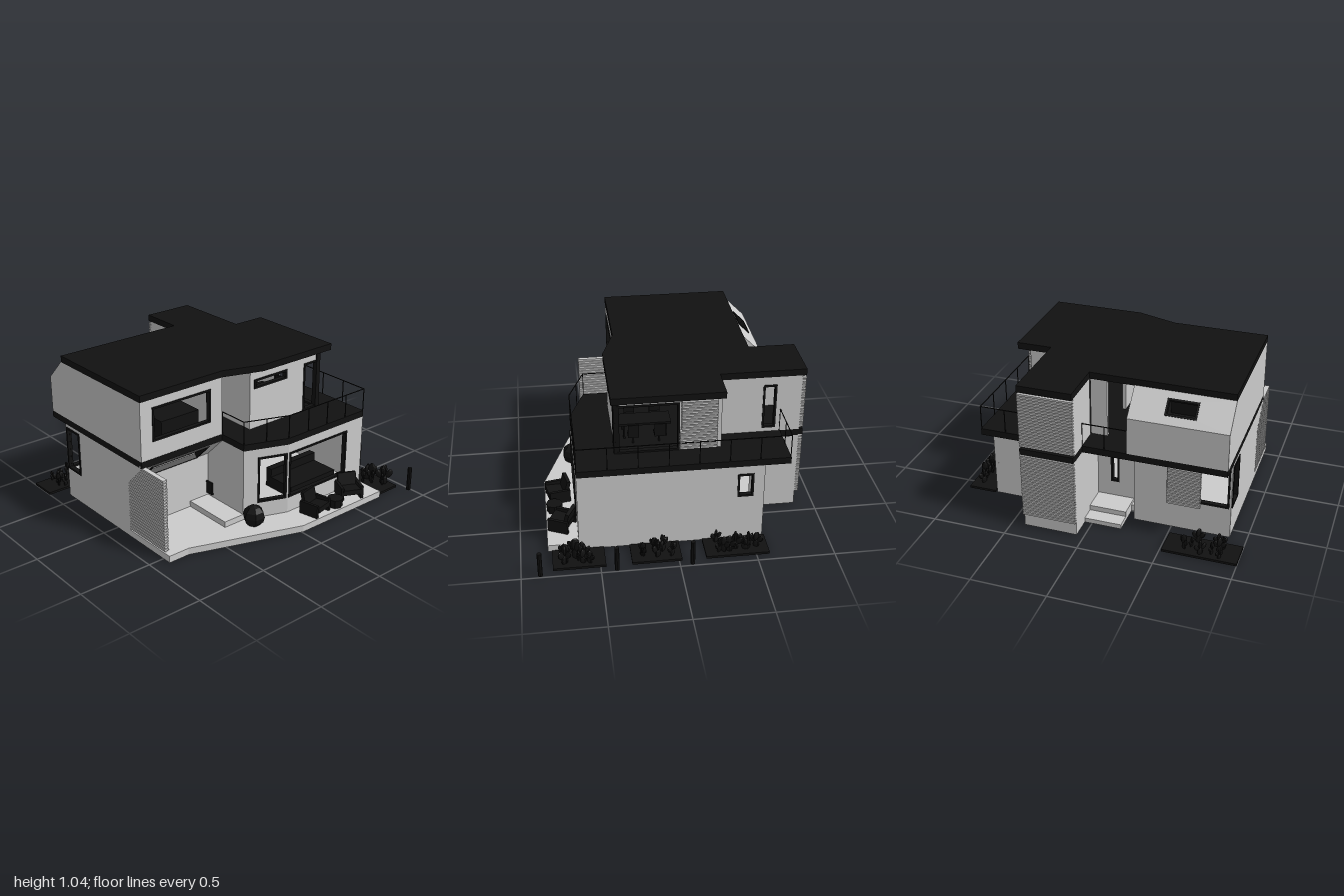
import * as THREE from 'three';
import { mergeGeometries } from 'three/addons/utils/BufferGeometryUtils.js';

const grey = new THREE.MeshStandardMaterial({ color: 0xcccccc, flatShading: true });
const black = new THREE.MeshStandardMaterial({ color: 0x111111, flatShading: true });
const toShape = (pts) => new THREE.Shape(pts.map(([x, y]) => new THREE.Vector2(x, y)));
const rect = (a, b, c, d) => toShape([[a, b], [c, b], [c, d], [a, d]]);

let seed = 7;
const rnd = () => (seed = (seed * 16807) % 2147483647) / 2147483647;

export function createModel() {
  const model = new THREE.Group();
  const T = 0.025;

  function add(name, geo, mat, parent = model) {
    const m = new THREE.Mesh(geo, mat);
    m.name = name;
    parent.add(m);
    return m;
  }
  // box given by its extents
  function box(name, x0, x1, y0, y1, z0, z1, mat = grey, parent = model) {
    const m = add(name, new THREE.BoxGeometry(x1 - x0, y1 - y0, z1 - z0), mat, parent);
    m.position.set((x0 + x1) / 2, (y0 + y1) / 2, (z0 + z1) / 2);
    return m;
  }
  // horizontal slab from a plan outline of [x, z]
  function slab(name, plan, y0, y1, mat) {
    const geo = new THREE.ExtrudeGeometry(toShape(plan.map(([x, z]) => [x, -z])), { depth: y1 - y0, bevelEnabled: false });
    add(name, geo.rotateX(-Math.PI / 2), mat).position.y = y0;
  }
  // wall from one plan point to another, outside on the right-hand side of travel;
  // holes are [u0, v0, u1, v1] along and up the wall, each given a black frame
  function wall(name, [x0, z0], [x1, z1], y0, y1, { holes = [], outline, tilt = 0 } = {}) {
    const g = new THREE.Group();
    g.name = name;
    const shape = outline ? toShape(outline) : rect(0, 0, Math.hypot(x1 - x0, z1 - z0), y1 - y0);
    for (const [a, b, c, d] of holes) {
      shape.holes.push(rect(a, b, c, d));
      const ring = rect(a, b, c, d), w = 0.013;
      ring.holes.push(rect(a + w, b + w, c - w, d - w));
      const frame = new THREE.ExtrudeGeometry(ring, { depth: T + 0.008, bevelEnabled: false });
      add('windowFrame', frame.translate(0, 0, -T - 0.002), black, g);
    }
    const geo = new THREE.ExtrudeGeometry(shape, { depth: T, bevelEnabled: false });
    add('wallPanel', geo.translate(0, 0, -T), grey, g);
    g.position.set(x0, y0, z0);
    g.rotation.order = 'YXZ';
    g.rotation.set(tilt, Math.atan2(z0 - z1, x1 - x0), 0);
    model.add(g);
  }
  function slats(name, x0, x1, z0, z1, y0, y1) {
    const parts = [];
    for (let y = y0; y < y1; y += 0.02)
      parts.push(new THREE.BoxGeometry(x1 - x0, 0.013, z1 - z0).translate((x0 + x1) / 2, y + 0.007, (z0 + z1) / 2));
    add(name, mergeGeometries(parts), grey);
  }

  // base, floor slab and roof
  slab('baseAndDeck', [[-0.89, 0.565], [-0.74, 0.565], [0.01, 0.825], [0.745, 0.825], [0.745, -0.575], [0.41, -0.575],
    [0.41, -0.87], [0.05, -0.87], [0.05, -0.5], [-0.245, -0.5], [-0.245, -0.585], [-0.89, -0.585]], 0.013, 0.06, grey);
  slab('floorSlab', [[-0.89, 0.3], [-0.245, 0.3], [-0.245, 0.515], [0.05, 0.625], [0.745, 0.625], [0.745, -0.74],
    [0.41, -0.74], [0.41, -0.895], [0.05, -0.895], [0.05, -0.74], [-0.89, -0.74]], 0.56, 0.605, black);
  slab('roof', [[-0.89, 0.3], [-0.245, 0.3], [0.03, 0.39], [0.645, 0.39], [0.645, -0.33], [0.41, -0.33],
    [0.41, -0.895], [0.05, -0.895], [0.05, -0.585], [-0.89, -0.585]], 1.005, 1.05, black);

  // ground floor walls
  const g0 = 0.06, g1 = 0.56;
  wall('frontLeftWall', [-0.89, 0.15], [-0.245, 0.15], g0, 0.41);
  wall('slopedSoffit', [-0.89, 0.15], [-0.245, 0.15], 0.41, 0.62,
    { tilt: Math.PI / 4, holes: [[0.09, 0.005, 0.55, 0.19]] });
  wall('patioSideWall', [-0.245, 0.15], [-0.245, 0.515], g0, g1);
  wall('angledFrontWall', [-0.245, 0.515], [0.05, 0.625], g0, g1, { holes: [[0.1, 0.11, 0.305, 0.44]] });
  wall('frontRightWall', [0.05, 0.625], [0.745, 0.625], g0, g1, { holes: [[0.005, 0.11, 0.54, 0.44]] });
  wall('rightWall', [0.745, 0.625], [0.745, -0.575], g0, g1, { holes: [[1.025, 0.275, 1.13, 0.445]] });
  wall('backRightWall', [0.745, -0.575], [0.41, -0.575], g0, g1);
  wall('towerRightWall', [0.41, -0.575], [0.41, -0.87], g0, g1);
  wall('towerBackWall', [0.41, -0.87], [0.05, -0.87], g0, g1);
  wall('towerLeftWall', [0.05, -0.87], [0.05, -0.45], g0, g1);
  wall('entranceWall', [0.05, -0.45], [-0.245, -0.45], g0, g1, { holes: [[0.09, 0.13, 0.15, 0.37]] });
  wall('entranceSideWall', [-0.245, -0.45], [-0.245, -0.585], g0, g1);
  wall('backLeftWall', [-0.245, -0.585], [-0.89, -0.585], g0, g1, { holes: [[0.22, 0.17, 0.632, 0.48]] });
  wall('leftWall', [-0.89, -0.585], [-0.89, 0.3], g0, g1,
    { outline: [[0, 0], [0.735, 0], [0.735, 0.35], [0.885, 0.5], [0, 0.5]], holes: [[0.013, 0.17, 0.17, 0.48]] });

  // upper floor walls
  const u0 = 0.605, u1 = 1.005;
  wall('upperFrontLeftWall', [-0.89, 0.298], [-0.245, 0.298], u0, u1, { holes: [[0.09, 0.115, 0.55, 0.345]] });
  wall('recessLeftWall', [-0.245, 0.298], [-0.245, -0.585], u0, u1);
  wall('recessRightWall', [-0.06, -0.2], [-0.06, 0.36], u0, u1);
  wall('upperFrontWall', [-0.06, 0.36], [0.42, 0.36], u0, u1, { holes: [[0.035, 0.28, 0.325, 0.345]] });
  wall('cornerGlazingFront', [0.42, 0.36], [0.56, 0.36], u0, u1, { holes: [[0, 0, 0.14, 0.345]] });
  wall('cornerGlazingSide', [0.56, 0.36], [0.56, -0.05], u0, u1, { holes: [[0, 0, 0.41, 0.345]] });
  wall('upperRightWall', [0.56, -0.05], [0.56, -0.32], u0, u1);
  wall('terraceBackWall', [0.56, -0.32], [0.41, -0.32], u0, u1);
  wall('upperTowerRightWall', [0.41, -0.32], [0.41, -0.87], u0, u1, { holes: [[0.295, 0.03, 0.385, 0.345]] });
  wall('upperTowerBackWall', [0.41, -0.87], [0.05, -0.87], u0, u1);
  wall('upperTowerLeftWall', [0.05, -0.87], [0.05, -0.585], u0, u1);
  wall('upperBackWall', [0.05, -0.57], [-0.06, -0.57], u0, u1);
  wall('bayBackWall', [-0.245, -0.74], [-0.89, -0.74], u0, 0.855);
  wall('baySlope', [-0.245, -0.74], [-0.89, -0.74], 0.855, 1.073, { tilt: -Math.PI / 4, holes: [[0.225, 0.057, 0.427, 0.17]] });
  wall('bayRightWall', [-0.245, -0.585], [-0.245, -0.74], u0, u1, { outline: [[0, 0], [0.155, 0], [0.155, 0.25], [0, 0.4]] });
  wall('upperLeftWall', [-0.89, -0.74], [-0.89, 0.298], u0, u1,
    { outline: [[0, 0], [1.038, 0], [1.038, 0.4], [0.155, 0.4], [0, 0.25]] });
  box('cornerPost', 0.532, 0.565, u0, u1, 0.335, 0.37, black);

  // louvres and patio screen
  slats('towerLouvreLower', 0.05, 0.41, -0.895, -0.865, 0.11, 0.555);
  slats('towerLouvreUpper', 0.05, 0.41, -0.895, -0.865, 0.62, 1.0);
  slats('terraceLouvre', 0.555, 0.59, -0.29, -0.06, 0.62, 0.985);
  slats('terraceLouvreEnd', 0.555, 0.59, -0.15, -0.05, 0.62, 0.76);
  slats('backWindowLouvre', -0.69, -0.47, -0.605, -0.58, 0.2, 0.55);
  box('patioScreen', -0.88, -0.868, g0, 0.555, 0.15, 0.51);
  slats('patioScreenSlats', -0.89, -0.858, 0.15, 0.515, 0.07, 0.555);

  // entrance steps and patio bench
  box('entranceStep', -0.2, 0.05, 0.013, 0.045, -0.72, -0.5);
  box('entranceUpperStep', -0.2, 0.05, 0.045, 0.08, -0.62, -0.45);
  box('patioBench', -0.4, -0.245, g0, 0.1, 0.15, 0.515);

  // railing around the terrace
  const railPath = [[-0.243, 0.3], [-0.243, 0.513], [0.05, 0.622], [0.742, 0.622], [0.742, -0.735], [0.41, -0.735]];
  const entryRail = [[0.05, -0.735], [-0.243, -0.735]];
  for (const path of [railPath, entryRail]) for (let i = 0; i + 1 < path.length; i++) {
    const [ax, az] = path[i], [bx, bz] = path[i + 1], len = Math.hypot(bx - ax, bz - az);
    const bar = add('railingBar', new THREE.BoxGeometry(len, 0.005, 0.005), black);
    bar.position.set((ax + bx) / 2, 0.765, (az + bz) / 2);
    bar.rotation.y = Math.atan2(az - bz, bx - ax);
    const n = Math.max(1, Math.round(len / 0.19));
    for (let k = 0; k <= n; k++)
      add('railingPost', new THREE.BoxGeometry(0.005, 0.16, 0.005), black)
        .position.set(ax + (bx - ax) * k / n, 0.685, az + (bz - az) * k / n);
  }

  // interior furniture
  function table(x, z, y, w, d, h) {
    box('tableTop', x - w / 2, x + w / 2, y + h - 0.015, y + h, z - d / 2, z + d / 2, black);
    for (const sx of [-1, 1]) for (const sz of [-1, 1]) {
      const px = x + sx * w * 0.4, pz = z + sz * d * 0.4;
      box('tableLeg', px - 0.006, px + 0.006, y, y + h, pz - 0.006, pz + 0.006, black);
      const cx = x + sx * (w / 2 + 0.05), cz = z + sz * d * 0.25;
      box('diningSeat', cx - 0.035, cx + 0.035, y + 0.06, y + 0.072, cz - 0.035, cz + 0.035, black);
      box('diningBack', cx + sx * 0.035 - 0.005, cx + sx * 0.035 + 0.005, y + 0.06, y + 0.15, cz - 0.035, cz + 0.035, black);
      box('diningLeg', cx - 0.006, cx + 0.006, y, y + 0.06, cz - 0.006, cz + 0.006, black);
    }
  }
  table(0.32, 0.15, u0, 0.14, 0.34, 0.11);
  table(-0.1, 0.1, g0, 0.14, 0.3, 0.12);
  box('bed', -0.66, -0.36, u0, 0.78, -0.15, 0.2, black);
  box('sofaSeat', 0.2, 0.62, g0, 0.14, 0.3, 0.5, black);
  box('sofaBack', 0.2, 0.62, g0, 0.2, 0.25, 0.3, black);
  box('innerWall', 0.06, 0.72, g0, g1, -0.3, -0.28);
  slats('stairTreads', 0.07, 0.4, -0.28, -0.2, 0.1, 0.5);
  box('wallShelf', 0.22, 0.4, 0.33, 0.36, -0.28, -0.19, black);

  // deck furniture
  for (const [x, z, r] of [[0.2, 0.735, 0.2], [0.54, 0.72, -0.45]]) {
    const c = new THREE.Group();
    c.name = 'loungeChair';
    box('seat', -0.065, 0.065, 0.03, 0.065, -0.06, 0.075, black, c).rotation.x = -0.1;
    box('backrest', -0.065, 0.065, 0.04, 0.145, -0.065, -0.04, black, c).rotation.x = -0.25;
    for (const s of [-0.07, 0.07]) box('arm', s - 0.01, s + 0.01, 0, 0.09, -0.07, 0.07, black, c);
    c.position.set(x, g0, z);
    c.rotation.y = r;
    model.add(c);
  }
  add('sideTable', new THREE.CylinderGeometry(0.055, 0.05, 0.06, 8), black).position.set(0.36, 0.09, 0.765);
  add('roundStool', new THREE.SphereGeometry(0.075, 6, 6), black).position.set(-0.235, 0.13, 0.61);

  // planting beds with paddle cacti
  function bed(x0, x1, z0, z1, count, height) {
    box('plantingBed', x0, x1, 0.012, 0.028, z0, z1, black);
    const parts = [];
    const paddle = (x, y, z, h, lean, turn) => parts.push(new THREE.SphereGeometry(1, 7, 6)
      .scale(h * 0.36, h * 0.5, h * 0.16).translate(0, h * 0.45, 0).rotateZ(lean).rotateY(turn).translate(x, y, z));
    for (let i = 0; i < count; i++) {
      const x = x0 + (x1 - x0) * (0.2 + 0.6 * rnd()), z = z0 + (z1 - z0) * (0.15 + 0.7 * rnd());
      const turn = rnd() * 6.3, tall = height * (0.55 + 0.45 * rnd()), h = tall * 0.42;
      paddle(x, 0.02, z, h, 0, turn);
      for (const s of [-1, 1]) {
        const d = s * h * 0.25;
        paddle(x + d * Math.cos(turn), 0.02 + h * 0.75, z - d * Math.sin(turn), h * 0.85, -s * 0.5, turn);
      }
      paddle(x, 0.02 + h * 0.9, z, h * 1.1, 0, turn + 0.8);
    }
    add('cacti', mergeGeometries(parts), black);
  }
  bed(0.755, 0.945, -0.585, -0.175, 9, 0.19);
  bed(0.755, 0.945, -0.02, 0.3, 8, 0.2);
  bed(0.755, 0.945, 0.465, 0.8, 9, 0.2);
  bed(-1, -0.515, -0.865, -0.675, 9, 0.14);

  // garden bollards
  for (const z of [-0.08, 0.4, 0.88])
    add('bollard', new THREE.CylinderGeometry(0.015, 0.015, 0.17, 8), black).position.set(0.982, 0.1, z);

  // stand on the ground
  model.position.y = -new THREE.Box3().setFromObject(model).min.y;
  return model;
}
